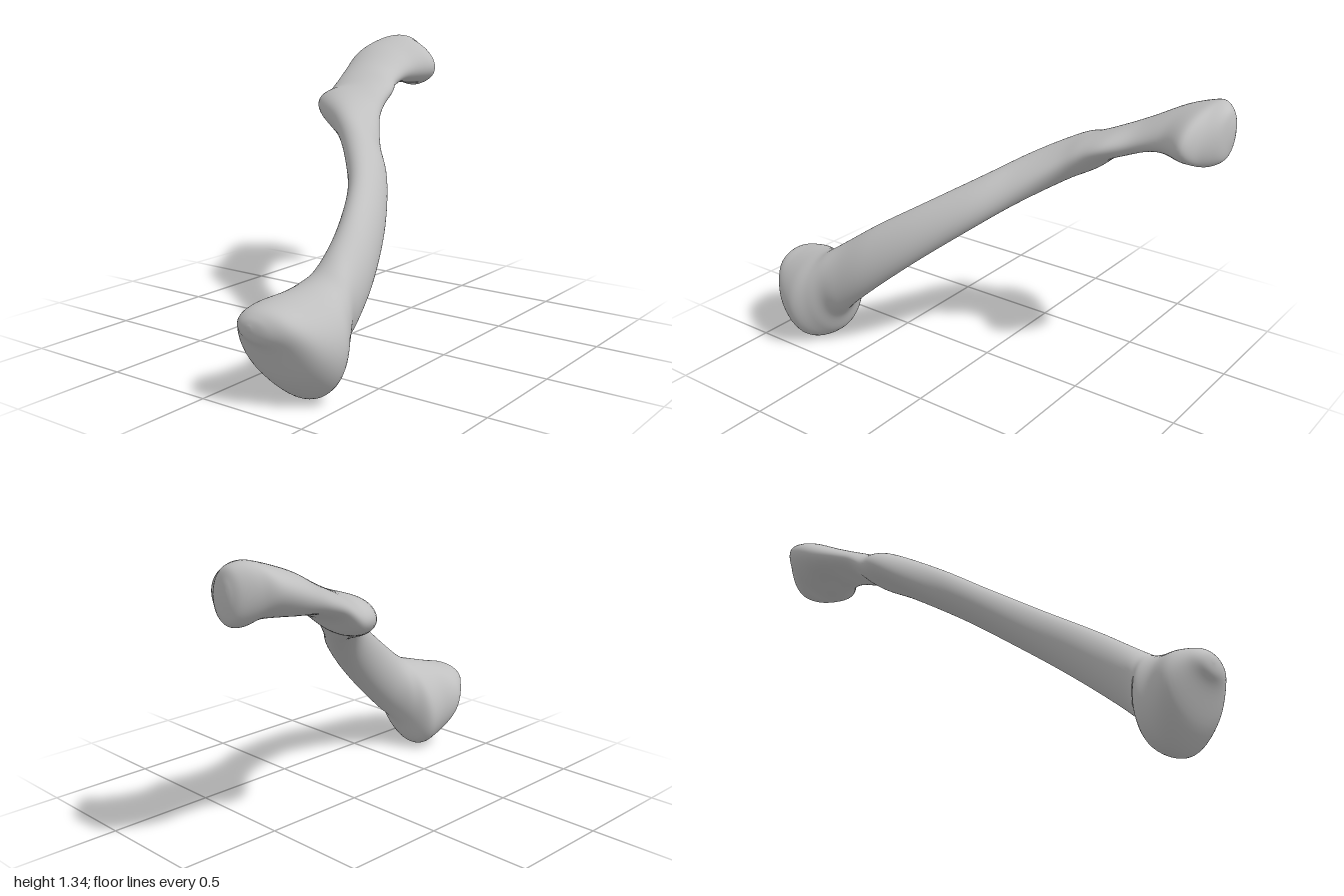
import * as THREE from 'three';

// Cross-sections along x: [x, yMin, yMax, zMin, zMax, tilt]
const SECTIONS = [
  // knuckled lower end
  [-1.0, 0.325, 0.345, 0.24, 0.26, 0],
  [-0.988, 0.285, 0.375, 0.19, 0.335, 0],
  [-0.95, 0.235, 0.405, 0.145, 0.42, 0],
  [-0.87, 0.09, 0.425, 0.09, 0.5, 0],
  [-0.77, 0.0, 0.45, 0.11, 0.535, 0.05],
  [-0.69, 0.03, 0.475, 0.12, 0.5, 0.2],
  [-0.63, 0.14, 0.51, 0.19, 0.47, 0.15],
  // shaft
  [-0.55, 0.225, 0.565, 0.23, 0.45, -0.12],
  [-0.4, 0.36, 0.67, 0.21, 0.41, -0.3],
  [-0.2, 0.53, 0.795, 0.12, 0.32, -0.45],
  [0.0, 0.69, 0.92, -0.05, 0.19, -0.5],
  [0.15, 0.805, 1.015, -0.22, 0.05, -0.5],
  // side ridge and neck
  [0.3, 0.9, 1.09, -0.43, -0.06, -0.2],
  [0.4, 0.95, 1.125, -0.46, -0.1, 0.1],
  [0.5, 1.025, 1.162, -0.47, -0.12, 0],
  [0.62, 1.06, 1.21, -0.505, -0.175, -0.1],
  // head
  [0.75, 1.08, 1.28, -0.54, -0.175, -0.15],
  [0.87, 1.09, 1.325, -0.525, -0.115, -0.25],
  [0.93, 1.075, 1.335, -0.475, -0.185, -0.25],
  [0.978, 1.1, 1.315, -0.42, -0.25, -0.1],
  [0.995, 1.16, 1.27, -0.38, -0.31, 0],
  [1.0, 1.21, 1.23, -0.355, -0.345, 0],
];

// Soft hollow under the neck
const HOLLOW = { at: new THREE.Vector3(0.7, 1.08, -0.34), radius: 0.11, depth: 0.035 };

// Smooth interpolation of one section value
function spline(column, u) {
  const n = SECTIONS.length - 1;
  const i = Math.min(Math.floor(u), n - 1), t = u - i;
  const v = k => SECTIONS[THREE.MathUtils.clamp(k, 0, n)][column];
  const p0 = v(i - 1), p1 = v(i), p2 = v(i + 1), p3 = v(i + 2);
  const m1 = (p2 - p0) / 2, m2 = (p3 - p1) / 2;
  return p1 + t * (m1 + t * (3 * (p2 - p1) - 2 * m1 - m2 + t * (2 * (p1 - p2) + m1 + m2)));
}

function loftBone(steps, sides) {
  const positions = [], indices = [];
  const rings = (SECTIONS.length - 1) * steps;
  const p = new THREE.Vector3();
  for (let i = 0; i <= rings; i++) {
    const [x, y0, y1, z0, z1, tilt] = [0, 1, 2, 3, 4, 5].map(c => spline(c, i / steps));
    const phase = Math.acos(tilt);
    for (let j = 0; j < sides; j++) {
      // tilted ellipse that just touches the section's box
      const a = (j / sides) * Math.PI * 2;
      p.set(x, (y0 + y1) / 2 + (y1 - y0) / 2 * Math.sin(a), (z0 + z1) / 2 + (z1 - z0) / 2 * Math.sin(a + phase));
      p.y += HOLLOW.depth * Math.exp(-p.distanceToSquared(HOLLOW.at) / HOLLOW.radius ** 2);
      positions.push(p.x, p.y, p.z);
    }
  }
  for (let i = 0; i < rings; i++) {
    for (let j = 0; j < sides; j++) {
      const k = (j + 1) % sides;
      const a = i * sides + j, b = i * sides + k, c = a + sides, d = b + sides;
      indices.push(a, c, b, b, c, d);
    }
  }
  // end caps
  const last = rings * sides;
  for (let j = 1; j < sides - 1; j++) {
    indices.push(0, j, j + 1, last, last + j + 1, last + j);
  }
  const geometry = new THREE.BufferGeometry();
  geometry.setAttribute('position', new THREE.Float32BufferAttribute(positions, 3));
  geometry.setIndex(indices);
  geometry.computeVertexNormals();
  return geometry;
}

export function createModel() {
  const boneGray = new THREE.MeshStandardMaterial({ color: 0xc0c0c0 });
  boneGray.name = 'boneGray';
  const bone = new THREE.Mesh(loftBone(6, 64), boneGray);
  bone.name = 'legBone';
  const model = new THREE.Group();
  model.name = 'bone';
  model.add(bone);
  return model;
}
